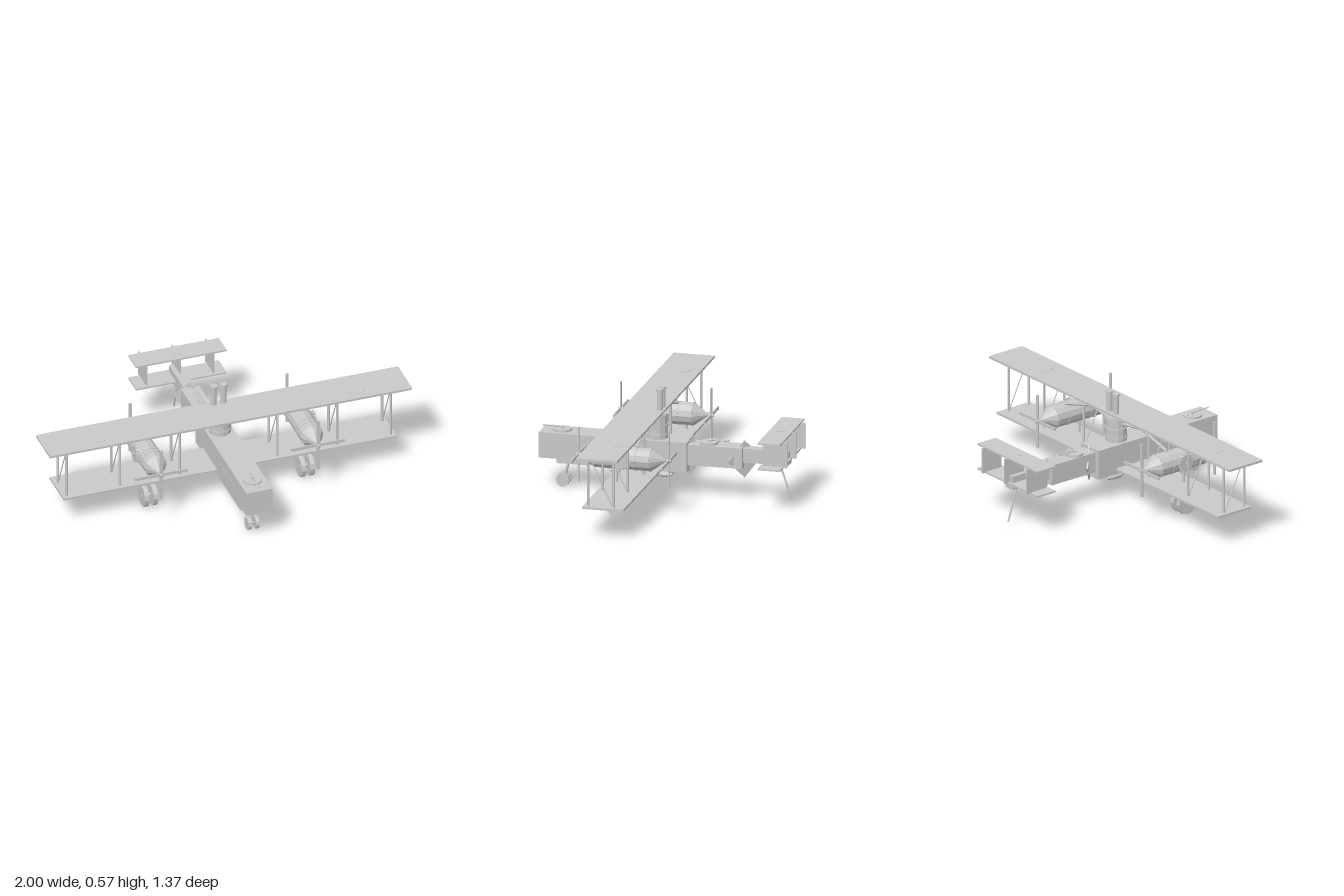
import * as THREE from 'three';

export function createModel() {
  const model = new THREE.Group();
  const grey = new THREE.MeshStandardMaterial({ color: 0xc8c8c8 });
  grey.name = 'plain light grey';
  grey.flatShading = true;

  const add = (name, geometry, x = 0, y = 0, z = 0, parent = model) => {
    const mesh = new THREE.Mesh(geometry, grey);
    mesh.name = name;
    mesh.position.set(x, y, z);
    parent.add(mesh);
    return mesh;
  };
  // Box given by its limits on each axis
  const block = (name, x0, x1, y0, y1, z0, z1, parent) =>
    add(name, new THREE.BoxGeometry(x1 - x0, y1 - y0, z1 - z0),
      (x0 + x1) / 2, (y0 + y1) / 2, (z0 + z1) / 2, parent);
  // Round bar between two points
  const bar = (name, a, b, r, sides = 6, parent = model) => {
    const p = new THREE.Vector3(...a), q = new THREE.Vector3(...b);
    const mesh = add(name, new THREE.CylinderGeometry(r, r, p.distanceTo(q), sides), 0, 0, 0, parent);
    mesh.position.copy(p).lerp(q, 0.5);
    mesh.quaternion.setFromUnitVectors(new THREE.Vector3(0, 1, 0), q.sub(p).normalize());
    return mesh;
  };
  // Turned shape whose axis runs along z; points are [radius, z]
  const turnedZ = (points, sides) =>
    new THREE.LatheGeometry(points.map(([r, z]) => new THREE.Vector2(r, z)), sides).rotateX(Math.PI / 2);

  // Fuselage in steps toward the tail
  block('nose', -0.072, 0.072, 0.162, 0.3, 0.59, 0.685);
  block('fuselage', -0.072, 0.072, 0.139, 0.3, -0.112, 0.59);
  block('rearFuselage', -0.05, 0.05, 0.175, 0.286, -0.405, -0.112);
  block('tailBoom', -0.03, 0.03, 0.205, 0.281, -0.65, -0.405);

  // Diagonal diamond frames that pierce the hull
  for (const z of [0.535, -0.115, -0.405]) {
    const frame = add('diamondFrame', new THREE.CylinderGeometry(0.1, 0.1, 0.008, 4).rotateX(Math.PI / 2), 0, 0.217, z);
    frame.rotation.y = -Math.PI / 4;
  }

  // Wings
  block('upperWing', -1, 1, 0.446, 0.458, 0.018, 0.24);
  block('lowerWing', -0.92, 0.92, 0.161, 0.173, 0.005, 0.228);

  // Tail planes, fins and rudders
  block('upperTailplane', -0.25, 0.25, 0.374, 0.383, -0.662, -0.54);
  block('lowerTailplane', -0.25, 0.25, 0.236, 0.245, -0.662, -0.54);
  for (const x of [-0.185, 0, 0.185]) {
    block('fin', x - 0.004, x + 0.004, 0.24, 0.38, -0.683, -0.555);
  }
  add('tailplaneDisc', new THREE.CylinderGeometry(0.022, 0.022, 0.003, 10), 0, 0.384, -0.6);
  bar('tailSkid', [0, 0.21, -0.595], [0, 0.02, -0.657], 0.005);

  // Gun rings
  const gunPost = (z, y, r, dir, barrels) => {
    add('gunRing', new THREE.CylinderGeometry(r, r, 0.012, 14), 0, y + 0.006, z);
    for (const x of barrels) {
      bar('gunBarrel', [x, y + 0.022, z - dir * 0.01], [x, y + 0.022, z + dir * 0.105], 0.004);
    }
    bar('gunMount', [0, y, z], [0, y + 0.023, z], 0.007);
  };
  gunPost(0.575, 0.298, 0.05, 1, [0]);
  gunPost(-0.215, 0.286, 0.048, -1, [-0.009, 0.009]);

  // Boiler with bands
  add('boiler', new THREE.CylinderGeometry(0.058, 0.058, 0.14, 12), 0, 0.365, 0.065);
  for (const y of [0.325, 0.375, 0.425]) {
    add('boilerBand', new THREE.CylinderGeometry(0.063, 0.063, 0.008, 12), 0, y, 0.065);
  }

  for (const s of [-1, 1]) {
    // Funnels
    bar('funnel', [s * 0.027, 0.38, 0.043], [s * 0.027, 0.57, 0.043], 0.016, 10);
    add('funnelCollar', new THREE.CylinderGeometry(0.021, 0.021, 0.012, 10), s * 0.027, 0.565, 0.043);
    add('wingDisc', new THREE.CylinderGeometry(0.065, 0.065, 0.003, 14), s * 0.715, 0.458, 0.135);

    // Windows
    for (let i = 0; i < 5; i++) {
      block('window', s * 0.073 - 0.002, s * 0.073 + 0.002, 0.22, 0.24, 0.275 + i * 0.052, 0.297 + i * 0.052);
    }

    // Wing struts with a diagonal brace in each bay
    for (const x of [0.27, 0.6, 0.895]) {
      for (const z of [0.2, 0.065]) bar('wingStrut', [s * x, 0.165, z], [s * x, 0.45, z], 0.007);
      bar('wingBrace', [s * x, 0.45, 0.2], [s * x, 0.165, 0.065], 0.003, 5);
    }

    // Steam pipe from boiler to engine
    const pipe = [[0.04, 0.4], [0.21, 0.425], [0.42, 0.365]];
    for (let i = 0; i < 2; i++) {
      bar('steamPipe', [s * pipe[i][0], pipe[i][1], 0.065], [s * pipe[i + 1][0], pipe[i + 1][1], 0.065], 0.008);
    }

    // Engine pod, pointed at both ends
    const pod = new THREE.Group();
    pod.name = 'enginePod';
    pod.position.set(s * 0.433, 0.307, 0);
    model.add(pod);
    add('nacelle', turnedZ([[0, -0.1], [0.061, -0.02], [0.061, 0.285], [0, 0.37]], 12), 0, 0, 0, pod);
    for (const z of [-0.015, 0.06, 0.205, 0.235]) {
      add('nacelleBand', new THREE.CylinderGeometry(0.064, 0.064, 0.008, 12).rotateX(Math.PI / 2), 0, 0, z, pod);
    }
    for (const z of [0.375, -0.112]) {
      block('propellerBlade', -0.147, 0.147, -0.008, 0.008, z - 0.004, z + 0.004, pod);
      block('propellerBlade', -0.008, 0.008, -0.147, 0.147, z - 0.004, z + 0.004, pod);
      add('propellerHub', turnedZ([[0, -0.016], [0.01, -0.012], [0.01, 0.012], [0, 0.016]], 8), 0, 0, z, pod);
    }
    // Toothed wheel on the outer side
    add('gearWheel', new THREE.CylinderGeometry(0.042, 0.042, 0.014, 16).rotateZ(Math.PI / 2), s * 0.06, 0, 0.135, pod);
    for (let i = 0; i < 14; i++) {
      const a = i / 14 * Math.PI * 2;
      const tooth = add('gearTooth', new THREE.BoxGeometry(0.012, 0.012, 0.01),
        s * 0.06, Math.sin(a) * 0.044, 0.135 + Math.cos(a) * 0.044, pod);
      tooth.rotation.x = -a;
    }
    bar('gearAxle', [0, 0, 0.135], [s * 0.074, 0, 0.135], 0.009, 8, pod);

    // Main landing wheels
    bar('mainLeg', [s * 0.433, 0.06, 0.168], [s * 0.433, 0.27, 0.168], 0.006);
    bar('mainAxle', [s * 0.395, 0.06, 0.168], [s * 0.471, 0.06, 0.168], 0.01);
    for (const x of [0.409, 0.457]) {
      add('mainWheel', new THREE.CylinderGeometry(0.06, 0.06, 0.024, 12).rotateZ(Math.PI / 2), s * x, 0.06, 0.168);
    }
    add('noseWheel', new THREE.CylinderGeometry(0.036, 0.036, 0.018, 10).rotateZ(Math.PI / 2), s * 0.021, 0.036, 0.568);

    // Bombs hung close under the hull
    for (const z of [0.26, 0.148, 0.04]) {
      add('bomb', turnedZ([[0, -0.064], [0.008, -0.064], [0.016, -0.03], [0.016, 0.02], [0, 0.06]], 8), s * 0.035, 0.112, z);
      block('bombRack', s * 0.035 - 0.004, s * 0.035 + 0.004, 0.12, 0.142, z - 0.03, z + 0.03);
    }
  }
  bar('noseLeg', [0, 0.036, 0.568], [0, 0.15, 0.535], 0.007);
  bar('noseAxle', [-0.03, 0.036, 0.568], [0.03, 0.036, 0.568], 0.007);

  return model;
}
